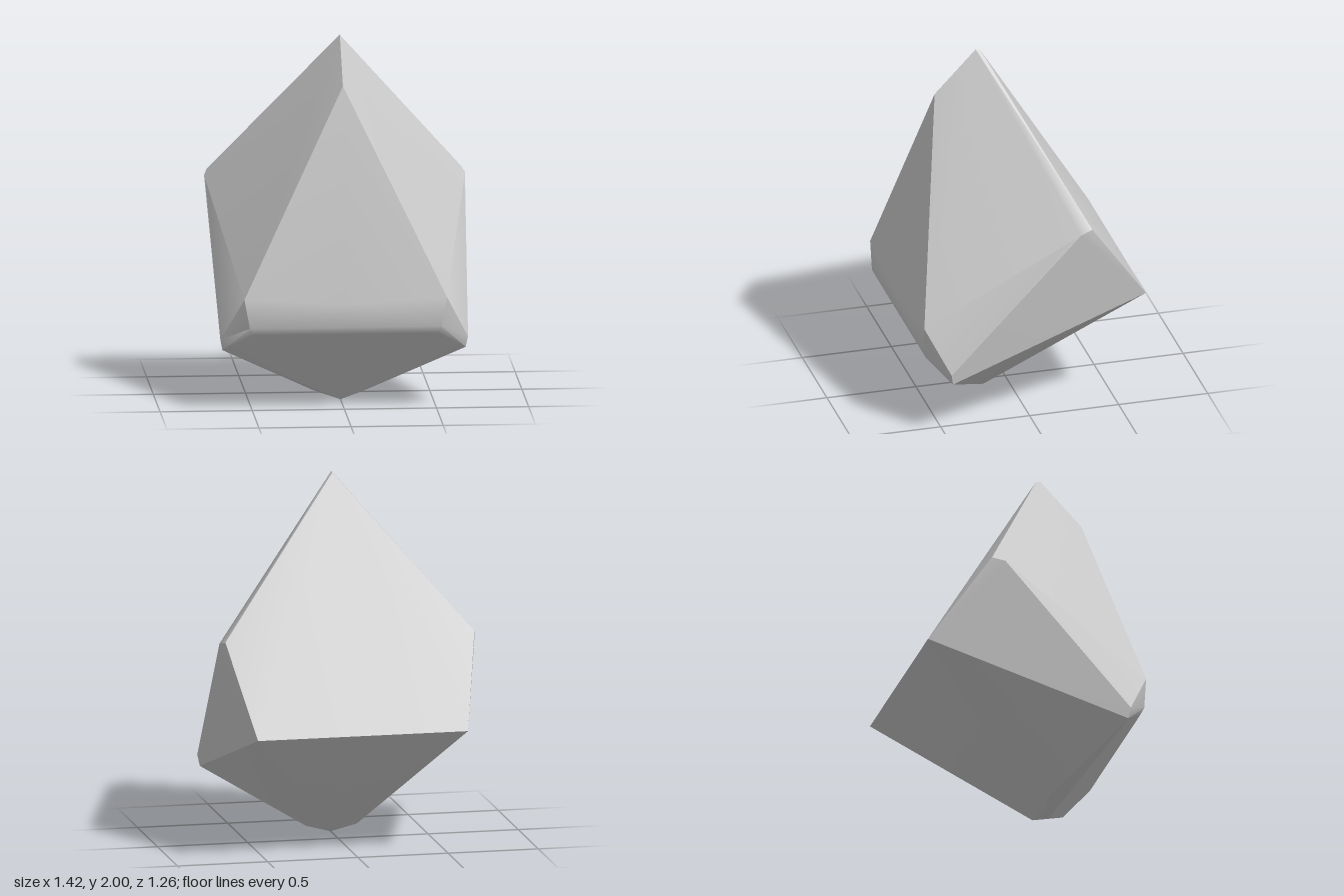
import * as THREE from 'three';
import { ConvexGeometry } from 'three/addons/geometries/ConvexGeometry.js';

// Area-weighted smooth normals that stay sharp where faces meet steeply
function softenBevels(geometry, maxAngle) {
  const pos = geometry.attributes.position;
  const limit = Math.cos(maxAngle);
  const corner = (i) => new THREE.Vector3().fromBufferAttribute(pos, i);
  const faces = [];
  const shared = {};
  const key = (v) => v.toArray().map((n) => n.toFixed(4)).join();
  for (let i = 0; i < pos.count; i += 3) {
    const [a, b, c] = [corner(i), corner(i + 1), corner(i + 2)];
    const area = b.clone().sub(a).cross(c.clone().sub(a));
    const face = { area, unit: area.clone().normalize() };
    faces.push(face);
    for (const v of [a, b, c]) (shared[key(v)] ??= []).push(face);
  }
  const normals = [];
  for (let i = 0; i < pos.count; i++) {
    const own = faces[Math.floor(i / 3)];
    const sum = new THREE.Vector3();
    for (const f of shared[key(corner(i))]) {
      if (f.unit.dot(own.unit) >= limit) sum.add(f.area);
    }
    normals.push(...sum.normalize().toArray());
  }
  geometry.setAttribute('normal', new THREE.Float32BufferAttribute(normals, 3));
  return geometry;
}

export function createModel() {
  const group = new THREE.Group();
  group.name = 'crystal';

  // Points on the centre plane: tip, front ridge, front, underside, back
  const centre = [
    [0, 2, 0.165], [0, 1.995, 0.14], [0, 1.76, 0.395],
    [0, 0.6, 0.627], [0, 0, 0.215], [0, 0, 0.18], [0, 0.03, 0.13],
    [0, 0.54, -0.52],
  ];
  // Points mirrored left and right; close neighbours form the bevels
  const sides = [
    [0.012, 1.74, 0.393],                                            // ridge
    [0.69, 1.18, -0.3], [0.708, 1.16, -0.23], [0.7, 1.13, -0.185],   // shoulder
    [0.55, 0.63, 0.605], [0.52, 0.47, 0.603], [0.5, 0.43, 0.583],    // front edge
    [0.672, 0.39, 0.485], [0.66, 0.33, 0.475],                       // lower front corner
    [0.582, 0.7, -0.63],                                             // back corner
    [0.14, 0.04, 0.16],                                              // underside
  ];
  const points = centre.map((p) => new THREE.Vector3(...p));
  for (const s of [1, -1]) {
    for (const [x, y, z] of sides) points.push(new THREE.Vector3(s * x, y, z));
  }

  const body = new THREE.Mesh(
    softenBevels(new ConvexGeometry(points), THREE.MathUtils.degToRad(32)),
    new THREE.MeshStandardMaterial({ color: 0xcccccc }),
  );
  body.name = 'facetedStone';
  group.add(body);
  return group;
}
